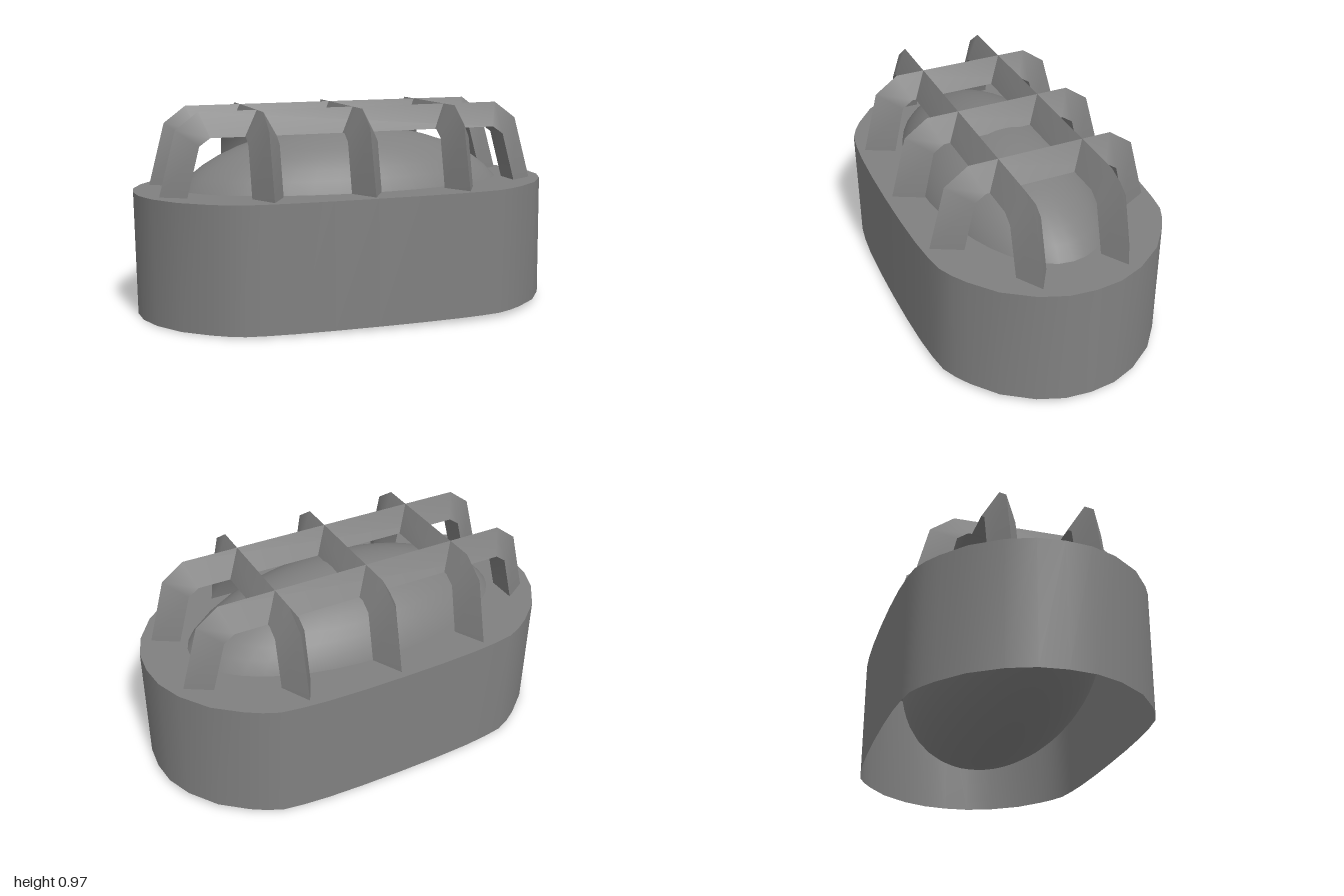
import * as THREE from 'three';
import { mergeVertices, toCreasedNormals } from 'three/addons/utils/BufferGeometryUtils.js';

const BOTTOM = 0.0135, TOP = 0.586;

// One quarter of the housing outline, [x, z], from the long side to the end
const QUARTER = [[0, 0.575], [0.2, 0.573], [0.38, 0.566], [0.5, 0.555], [0.595, 0.54],
  [0.665, 0.508], [0.73, 0.467], [0.845, 0.372], [0.937, 0.24], [0.983, 0.12], [0.995, 0]];

function fullOutline() {
  const back = QUARTER.slice(0, -1).reverse().map(([x, z]) => [x, -z]);
  const half = [...QUARTER, ...back];
  const left = half.slice(1, -1).reverse().map(([x, z]) => [-x, z]);
  return [...half, ...left];
}

// Cage bar: a triangular section, sharp edge outward, swept over an arch.
// outer and inner list [distance, height] for one half of the arch.
function barGeometry(outer, inner, halfWidth) {
  const mirror = (p) => [...p.map(([x, y]) => [-x, y]), ...[...p].reverse()];
  const o = mirror(outer), n = mirror(inner);
  const rings = o.map(([x, y], i) => [
    [x, y, 0], [n[i][0], n[i][1], halfWidth], [n[i][0], n[i][1], -halfWidth]]);
  const pos = [];
  for (let i = 0; i < rings.length - 1; i++) {
    for (let k = 0; k < 3; k++) {
      const m = (k + 1) % 3;
      const a = rings[i][k], d = rings[i][m], c = rings[i + 1][m], b = rings[i + 1][k];
      pos.push(...a, ...d, ...c, ...a, ...c, ...b);
    }
  }
  const g = new THREE.BufferGeometry();
  g.setAttribute('position', new THREE.Float32BufferAttribute(pos, 3));
  // Bends shade smoothly, the three long edges stay sharp
  return toCreasedNormals(g, Math.PI / 4);
}

export function createModel() {
  const model = new THREE.Group();
  model.name = 'cagedLamp';
  const solid = new THREE.MeshStandardMaterial({ color: 0x808080 });
  const thin = new THREE.MeshStandardMaterial({ color: 0x808080, side: THREE.DoubleSide });
  const add = (geometry, material, name) => {
    const mesh = new THREE.Mesh(geometry, material);
    mesh.name = name;
    model.add(mesh);
    return mesh;
  };

  // Housing wall: open tube bent to the rounded outline
  const outline = fullOutline();
  let wall = new THREE.CylinderGeometry(1, 1, TOP - BOTTOM, outline.length, 1, true);
  wall.translate(0, (TOP + BOTTOM) / 2, 0);
  const p = wall.attributes.position;
  for (let i = 0; i < p.count; i++) {
    const [x, z] = outline[(i % (outline.length + 1)) % outline.length];
    p.setX(i, x);
    p.setZ(i, z);
  }
  wall.deleteAttribute('uv');
  wall.deleteAttribute('normal');
  wall = mergeVertices(wall);
  wall.computeVertexNormals();
  add(wall, thin, 'housingWall');

  // Flat top of the housing
  const shape = new THREE.Shape(outline.map(([x, z]) => new THREE.Vector2(x, -z)));
  const cap = new THREE.ShapeGeometry(shape);
  cap.rotateX(-Math.PI / 2);
  cap.translate(0, TOP, 0);
  add(cap, thin, 'housingTop');

  // Lamp glass, rising through the top and hanging down inside the housing
  const glass = new THREE.SphereGeometry(1, 40, 24);
  glass.scale(0.845, 0.428, 0.434);
  glass.translate(0, 0.429, 0);
  add(glass, solid, 'glass');

  // Two lengthwise cage bars
  const longBar = barGeometry(
    [[0.9, TOP], [0.82, 0.88], [0.715, 0.959]],
    [[0.785, TOP], [0.725, 0.812], [0.675, 0.847]], 0.07);
  for (const z of [-0.2, 0.2]) add(longBar, solid, 'longBar').position.z = z;

  // Three crosswise cage bars, the middle one slightly wider
  for (const x of [-0.45, 0, 0.45]) {
    const s = x === 0 ? 0 : 0.013;
    const bar = add(barGeometry(
      [[0.54 - s, TOP], [0.462 - s, 0.88], [0.35 - s, 0.959]],
      [[0.405 - s, TOP], [0.352 - s, 0.812], [0.3 - s, 0.847]], 0.07), solid, 'crossBar');
    bar.rotation.y = Math.PI / 2;
    bar.position.x = x;
  }

  // The whole lamp leans very slightly
  model.rotation.z = 0.0125;
  return model;
}
